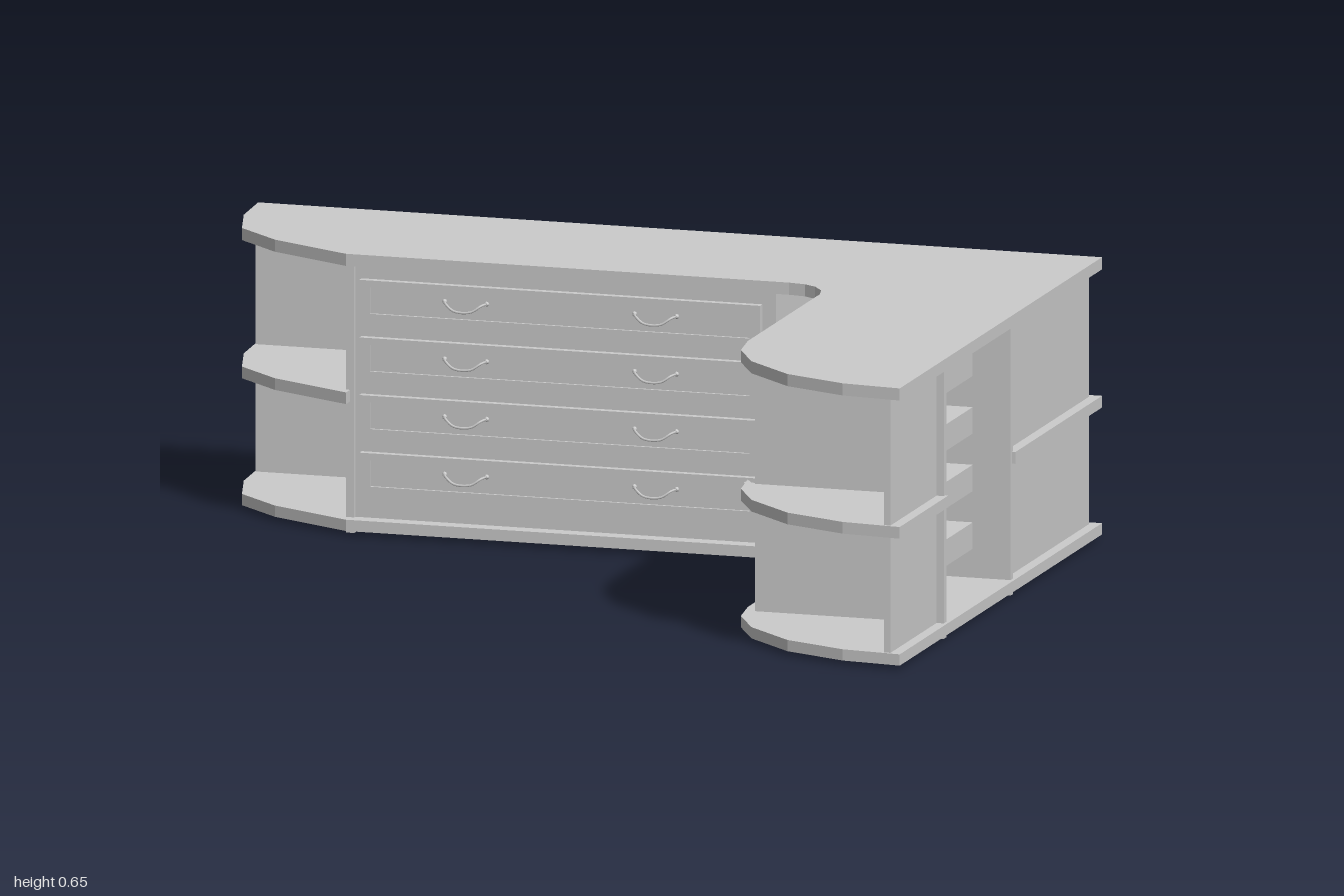
import * as THREE from 'three';

const material = new THREE.MeshStandardMaterial({ color: 0xcccccc, flatShading: true });
const smooth = new THREE.MeshStandardMaterial({ color: 0xcccccc });

// Plan outlines as [x, z] points
const leftCurve = [[-0.64, -0.28], [-0.84, -0.38], [-0.95, -0.48], [-0.99, -0.62], [-1, -0.76]];
const rightCurve = [[1, 0.755], [0.86, 0.74], [0.71, 0.68], [0.59, 0.57], [0.53, 0.46], [0.515, 0.36]];
const innerCurve = [[0.515, -0.18], [0.505, -0.22], [0.48, -0.255], [0.45, -0.273], [0.41, -0.28]];

function add(parent, name, geometry, mat = material) {
  const mesh = new THREE.Mesh(geometry, mat);
  mesh.name = name;
  parent.add(mesh);
  return mesh;
}

function box(parent, name, x0, x1, y0, y1, z0, z1) {
  const mesh = add(parent, name, new THREE.BoxGeometry(x1 - x0, y1 - y0, z1 - z0));
  mesh.position.set((x0 + x1) / 2, (y0 + y1) / 2, (z0 + z1) / 2);
  return mesh;
}

// Horizontal board cut from a plan outline
function board(parent, name, outline, y0, y1) {
  const shape = new THREE.Shape(outline.map(([x, z]) => new THREE.Vector2(x, z)));
  const geometry = new THREE.ExtrudeGeometry(shape, { depth: y1 - y0, bevelEnabled: false });
  geometry.rotateX(Math.PI / 2);
  add(parent, name, geometry).position.y = y1;
}

function rectangle(target, w, h) {
  target.moveTo(-w / 2, -h / 2);
  target.lineTo(w / 2, -h / 2);
  target.lineTo(w / 2, h / 2);
  target.lineTo(-w / 2, h / 2);
  target.closePath();
  return target;
}

// Drooping pull handle with two flared feet
function handle(parent, x) {
  const curve = new THREE.CatmullRomCurve3([
    [-0.05, 0.008, 0], [-0.042, 0.006, 0.018], [-0.02, -0.008, 0.026],
    [0.02, -0.008, 0.026], [0.042, 0.006, 0.018], [0.05, 0.008, 0],
  ].map((p) => new THREE.Vector3(...p)));
  const group = new THREE.Group();
  group.name = 'handle';
  group.position.set(x, 0, 0);
  parent.add(group);
  add(group, 'handleBar', new THREE.TubeGeometry(curve, 20, 0.003, 6), smooth);
  for (const s of [-1, 1]) {
    const foot = add(group, 'handleFoot', new THREE.CylinderGeometry(0.003, 0.006, 0.006, 8), smooth);
    foot.rotation.x = Math.PI / 2;
    foot.position.set(s * 0.05, 0.008, 0.003);
  }
}

// Drawer bay: faces +z, front edge at z = 0, centred on x
function drawerBay(name, length, handleXs) {
  const bay = new THREE.Group();
  bay.name = name;
  const half = length / 2;
  box(bay, 'facePanel', -half, half, 0.035, 0.62, -0.05, -0.038);
  for (const s of [-1, 1]) {
    box(bay, 'sidePanel', s * half - 0.01, s * half + 0.01, 0, 0.62, -0.477, -0.03);
  }
  for (let i = 0; i < 4; i++) {
    const drawer = new THREE.Group();
    drawer.name = 'drawer';
    drawer.position.y = 0.142 + i * 0.133;
    bay.add(drawer);
    const w = length - 0.05, h = 0.093, iw = w - 0.05, ih = 0.061;
    // Raised rim around a recessed field, with the drawer box behind
    const rim = rectangle(new THREE.Shape(), w, h);
    rim.holes.push(rectangle(new THREE.Path(), iw, ih));
    add(drawer, 'drawerRim', new THREE.ExtrudeGeometry(rim, { depth: 0.035, bevelEnabled: false })).position.z = -0.055;
    box(drawer, 'drawerField', -iw / 2, iw / 2, -ih / 2, ih / 2, -0.05, -0.027);
    box(drawer, 'drawerBox', -iw / 2, iw / 2, -ih / 2, ih / 2, -0.4, -0.05);
    for (const x of handleXs) {
      const pull = new THREE.Group();
      pull.name = 'pull';
      pull.position.z = -0.027;
      drawer.add(pull);
      handle(pull, x);
    }
  }
  return bay;
}

export function createModel() {
  const model = new THREE.Group();
  model.name = 'cornerCounter';

  // Full L-shaped top and base
  const outline = [...leftCurve, [1, -0.76], ...rightCurve, ...innerCurve];
  board(model, 'counterTop', outline, 0.622, 0.65);
  board(model, 'baseBoard', outline, 0.01, 0.036);

  // Middle shelves of the two rounded ends and the inner corner
  board(model, 'leftEndShelf', [...leftCurve, [-0.64, -0.76]], 0.303, 0.33);
  board(model, 'rightEndShelf', [...rightCurve, [0.515, 0.39], [1, 0.39]], 0.303, 0.33);
  board(model, 'cornerShelf',
    [[0.36, -0.28], [0.36, -0.76], [1, -0.76], [1, -0.11], [0.515, -0.11], ...innerCurve], 0.303, 0.33);

  // Drawer bays on both wings
  const longBay = drawerBay('longDrawerBay', 1, [-0.225, 0.225]);
  longBay.position.set(-0.14, 0, -0.28);
  const shortBay = drawerBay('shortDrawerBay', 0.5, [0]);
  shortBay.position.set(0.515, 0, 0.14);
  shortBay.rotation.y = -Math.PI / 2;
  model.add(longBay, shortBay);

  // Outer panels behind the open shelves
  box(model, 'leftEndBack', -0.995, -0.64, 0.01, 0.622, -0.74, -0.725);
  box(model, 'cornerBack', 0.36, 0.975, 0.005, 0.622, -0.74, -0.725);
  box(model, 'cornerSide', 0.96, 0.975, 0.005, 0.622, -0.74, -0.11);
  box(model, 'rightEndSide', 0.96, 0.975, 0.01, 0.622, 0.39, 0.745);
  return model;
}
